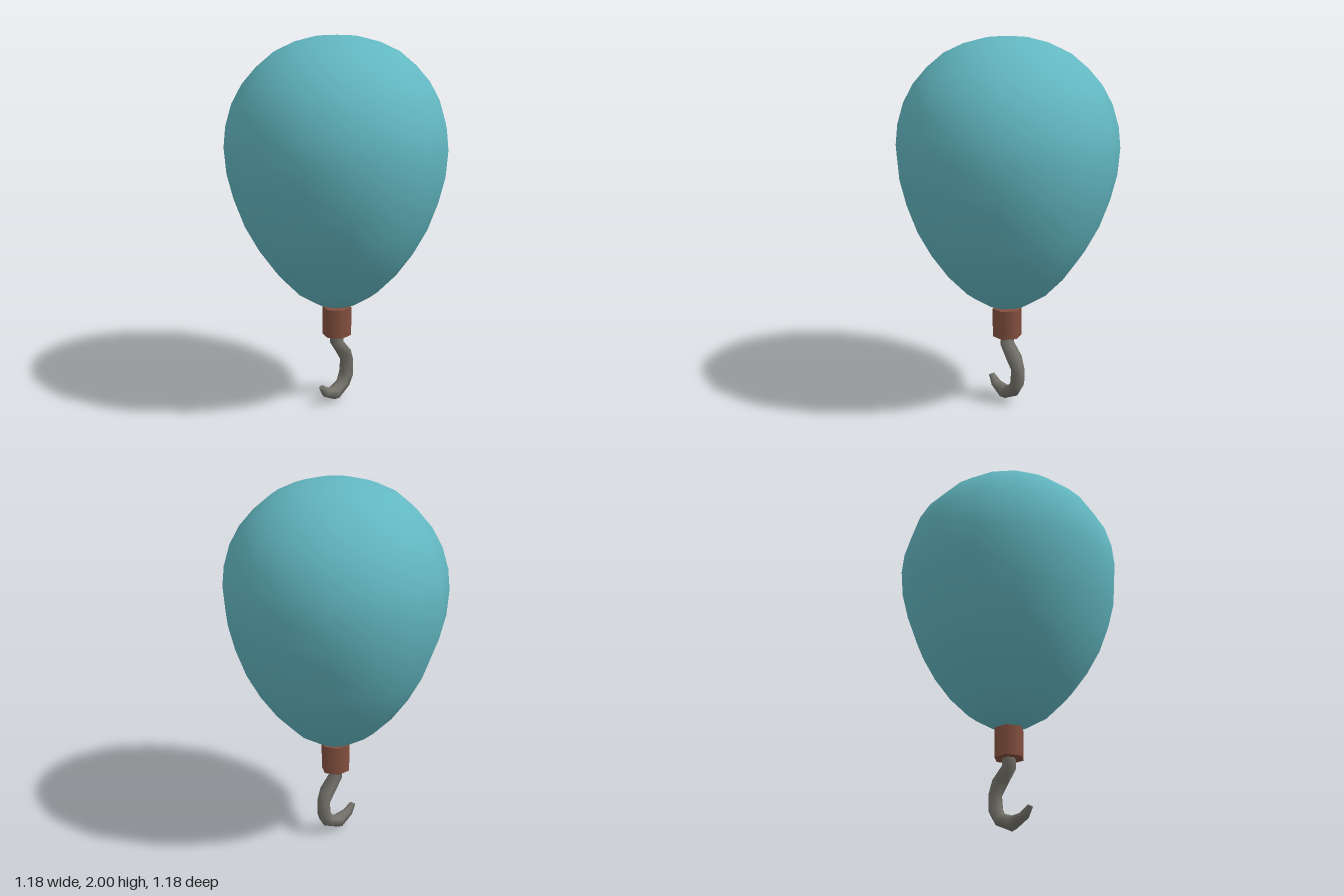
import * as THREE from 'three';

const teal = new THREE.MeshStandardMaterial({ color: 0x62b7c1 });
teal.name = 'balloonTeal';
const brown = new THREE.MeshStandardMaterial({ color: 0x84503f });
brown.name = 'collarBrown';
const grey = new THREE.MeshStandardMaterial({ color: 0x74726a });
grey.name = 'hookGrey';

// Hexagonal loft; each station is [innerZ, innerY, outerZ, outerY]
function loftHook(stations, sides = 6) {
  const pos = [], idx = [];
  for (const [iz, iy, oz, oy] of stations) {
    const cz = (iz + oz) / 2, cy = (iy + oy) / 2;
    const uz = (oz - iz) / 2, uy = (oy - iy) / 2;
    const r = Math.hypot(uz, uy);
    for (let j = 0; j < sides; j++) {
      const a = (j / sides) * Math.PI * 2;
      pos.push(r * Math.sin(a), cy + uy * Math.cos(a), cz + uz * Math.cos(a));
    }
  }
  for (let i = 0; i < stations.length - 1; i++) {
    for (let j = 0; j < sides; j++) {
      const a = i * sides + j, b = i * sides + (j + 1) % sides;
      idx.push(a, b, a + sides, b, b + sides, a + sides);
    }
  }
  // Flat tip with its own vertices for a sharp edge
  const last = (stations.length - 1) * sides, cap = pos.length / 3;
  pos.push(...pos.slice(last * 3));
  for (let j = 1; j < sides - 1; j++) idx.push(cap, cap + j, cap + j + 1);
  const g = new THREE.BufferGeometry();
  g.setAttribute('position', new THREE.Float32BufferAttribute(pos, 3));
  g.setIndex(idx);
  g.computeVertexNormals();
  return g;
}

export function createModel() {
  const group = new THREE.Group();
  group.name = 'hookedBalloon';
  const add = (name, geometry, material) => {
    const mesh = new THREE.Mesh(geometry, material);
    mesh.name = name;
    group.add(mesh);
    return mesh;
  };

  // Balloon: 16-sided egg, ring radii follow a sphere, heights from bottom to top
  const heights = [0.55, 0.57, 0.64, 0.745, 0.87, 1.005, 1.155, 1.29, 1.43,
    1.54, 1.655, 1.755, 1.84, 1.915, 1.963, 1.992, 2];
  const profile = heights.map((y, i) => new THREE.Vector2(
    i % 16 ? 0.59 * Math.sin((i / 16) * Math.PI) : 0, y));
  add('balloon', new THREE.LatheGeometry(profile, 16), teal);

  // Collar: hexagonal sleeve under the balloon
  add('collar', new THREE.CylinderGeometry(0.08, 0.08, 0.16, 6), brown).position.y = 0.46;

  // Hook: shaft, bend and tapered tip
  add('hook', loftHook([
    [0.037, 0.4, -0.037, 0.4],
    [0.037, 0.325, -0.037, 0.345],
    [-0.015, 0.257, -0.1, 0.278],
    [-0.053, 0.204, -0.127, 0.204],
    [-0.048, 0.14, -0.122, 0.108],
    [-0.026, 0.098, -0.085, 0.05],
    [0.02, 0.082, 0.02, 0],
    [0.074, 0.087, 0.116, 0.05],
    [0.122, 0.119, 0.148, 0.103],
  ]), grey);

  return group;
}
